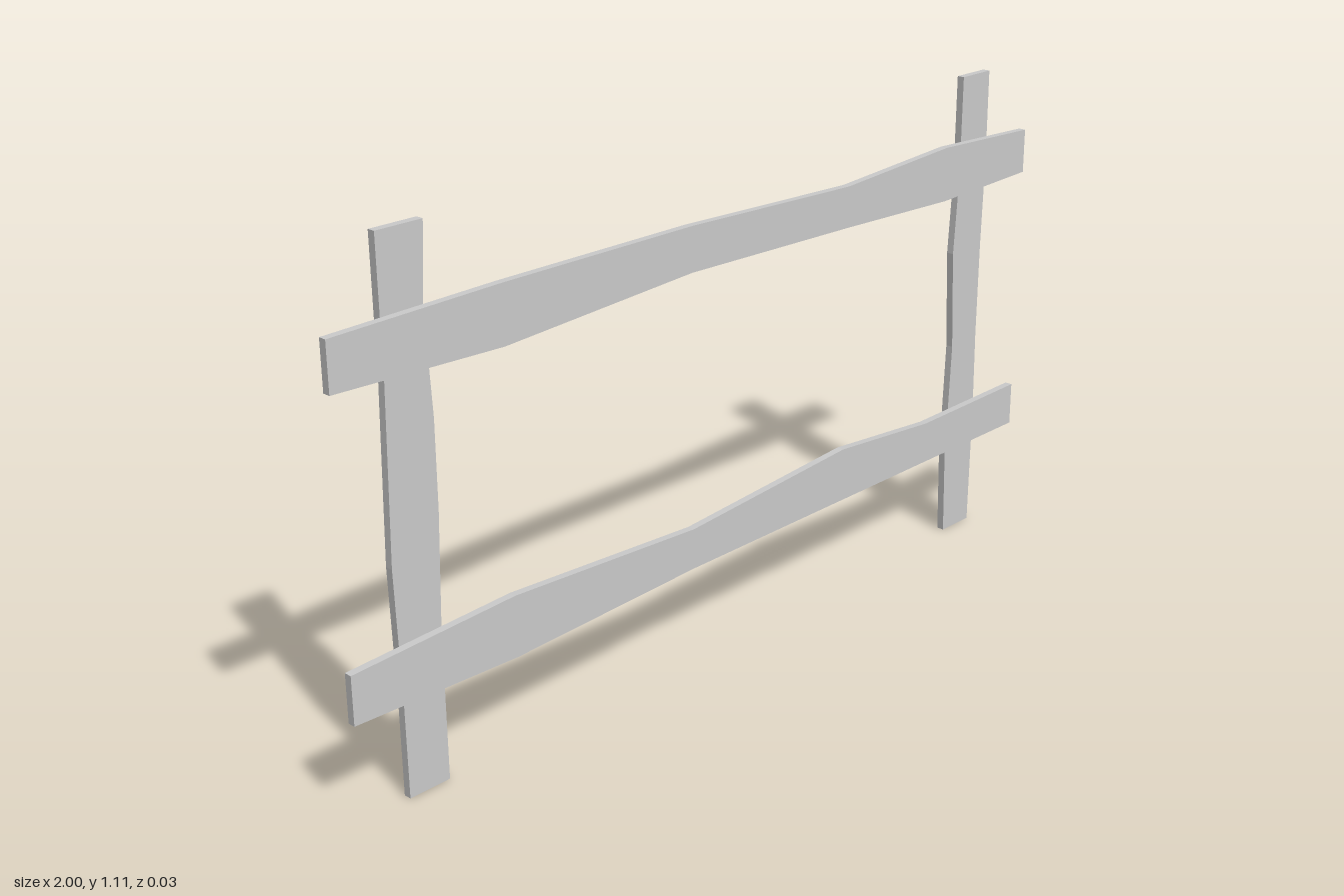
import * as THREE from 'three';

const THICKNESS = 0.017;
const material = new THREE.MeshStandardMaterial({ color: 0xcccccc, flatShading: true });

// A flat plank cut to an uneven outline; one edge runs forward, the other back.
function plank(name, edgeA, edgeB, z) {
  const outline = [...edgeA, ...edgeB.slice().reverse()].map(([x, y]) => new THREE.Vector2(x, y));
  const geometry = new THREE.ExtrudeGeometry(new THREE.Shape(outline), {
    depth: THICKNESS, bevelEnabled: false,
  });
  const mesh = new THREE.Mesh(geometry, material);
  mesh.name = name;
  mesh.position.z = z;
  return mesh;
}

export function createModel() {
  const fence = new THREE.Group();
  fence.name = 'fence';

  // Rails, in front: lower edge, then upper edge
  fence.add(plank('upperRail',
    [[-1, 0.852], [-0.61, 0.838], [-0.12, 0.864], [0.36, 0.853], [0.7, 0.842], [1, 0.852]],
    [[-1, 0.953], [-0.61, 0.96], [-0.12, 0.96], [0.36, 0.944], [0.7, 0.965], [1, 0.953]], 0));
  fence.add(plank('lowerRail',
    [[-1, 0.215], [-0.61, 0.202], [-0.12, 0.217], [0.36, 0.217], [1, 0.217]],
    [[-1, 0.318], [-0.61, 0.334], [-0.12, 0.307], [0.36, 0.34], [0.66, 0.314], [1, 0.318]], 0));

  // Posts, behind: right-hand edge upward, then left-hand edge
  fence.add(plank('rightPost',
    [[-0.778, 0], [-0.778, 0.32], [-0.769, 0.56], [-0.768, 0.74], [-0.778, 0.95], [-0.768, 1.11]],
    [[-0.874, 0], [-0.875, 0.21], [-0.882, 0.48], [-0.872, 0.84], [-0.873, 1.11]], -THICKNESS));
  fence.add(plank('leftPost',
    [[0.863, 0], [0.867, 0.28], [0.864, 0.48], [0.866, 0.7], [0.872, 0.9], [0.871, 1.11]],
    [[0.768, 0], [0.762, 0.2], [0.774, 0.47], [0.762, 0.7], [0.774, 0.88], [0.775, 1.11]], -THICKNESS));

  return fence;
}
